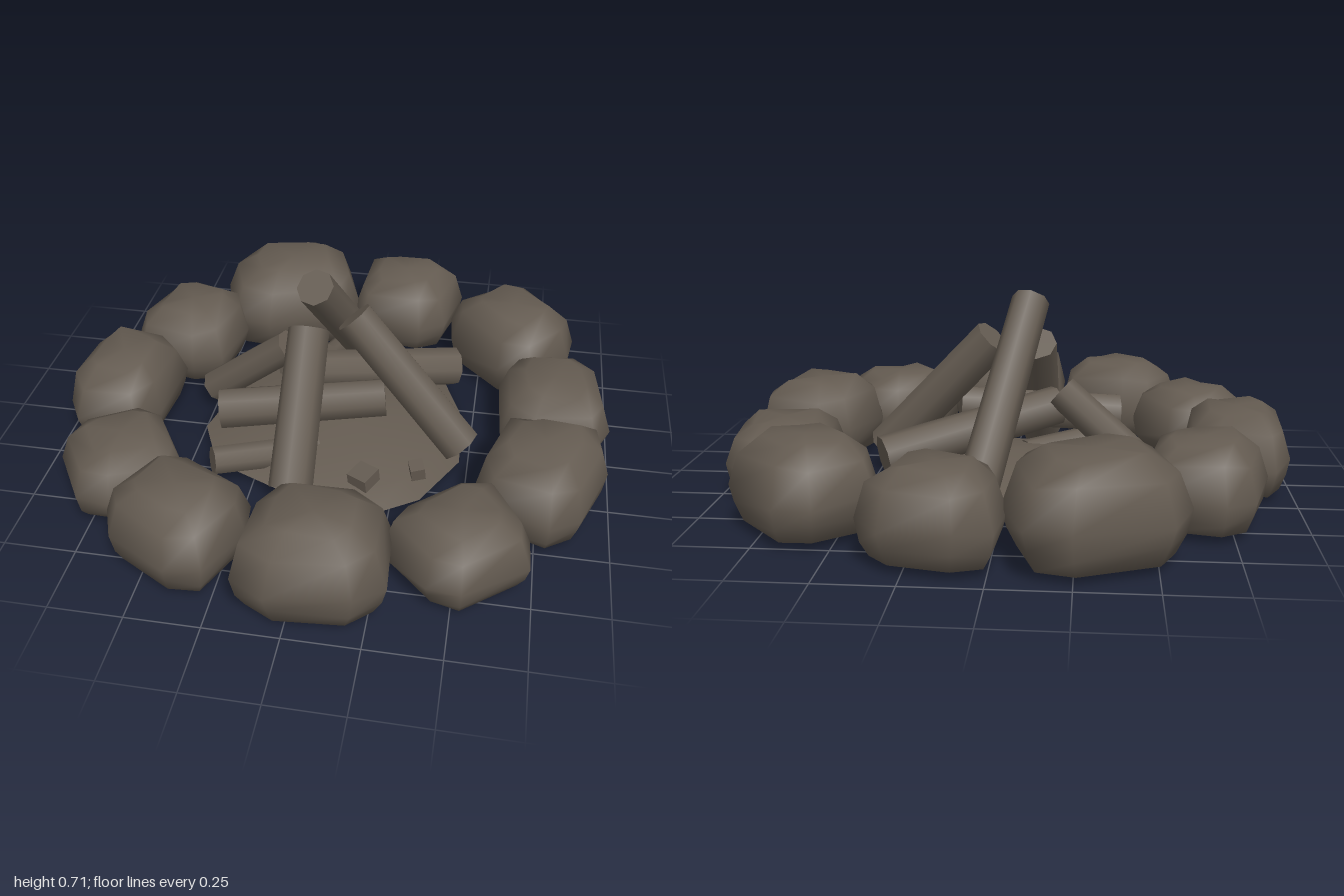
import * as THREE from 'three';
import { toCreasedNormals } from 'three/addons/utils/BufferGeometryUtils.js';

const material = new THREE.MeshStandardMaterial({ color: 0x645b51 });
material.name = 'sootyBrown';

// Stacked rings over an outline of [x, z] points; each ring is [scale, y]
function loft(outline, rings, wobble = 0) {
  const n = outline.length;
  const cx = outline.reduce((s, p) => s + p[0], 0) / n;
  const cz = outline.reduce((s, p) => s + p[1], 0) / n;
  const pos = [];
  const index = [];
  rings.forEach(([s, y], k) => outline.forEach(([x, z], i) => {
    const dy = k > 0 ? wobble * Math.sin(i * 2.3 + k * 1.7 + cx * 9) : 0;
    const ds = k > 2 ? s + wobble * 2 * Math.sin(i * 1.9 + cz * 7) : s;
    pos.push(cx + (x - cx) * ds, y + dy, cz + (z - cz) * ds);
  }));
  const bottom = pos.length / 3;
  pos.push(cx, rings[0][1], cz, cx, rings[rings.length - 1][1] + wobble * 0.4, cz);
  const last = (rings.length - 1) * n;
  for (let i = 0; i < n; i++) {
    const j = (i + 1) % n;
    for (let k = 0; k < rings.length - 1; k++) {
      const a = k * n + i, b = k * n + j;
      index.push(b, a, a + n, b, a + n, b + n);
    }
    index.push(bottom, i, j, bottom + 1, last + j, last + i);
  }
  const g = new THREE.BufferGeometry();
  g.setAttribute('position', new THREE.Float32BufferAttribute(pos, 3));
  g.setIndex(index);
  return toCreasedNormals(g, 1.4);
}

// Rounded, slightly uneven block outline with one axis pointing away from the fire
function stoneOutline(x, z, halfWidth, halfDepth, turn, seed) {
  const angle = Math.atan2(z, x) + turn;
  const ox = Math.cos(angle), oz = Math.sin(angle);
  const bulge = (v) => Math.sign(v) * Math.abs(v) ** 0.6 * 1.05;
  return Array.from({ length: 8 }, (_, i) => {
    const t = (i + 0.5) * Math.PI / 4;
    const uneven = 0.98 + 0.06 * Math.sin(i * 2.7 + seed * 4.1);
    const u = bulge(Math.cos(t)) * halfDepth * uneven;
    const v = bulge(Math.sin(t)) * halfWidth * uneven;
    return [x + ox * u - oz * v, z + oz * u + ox * v];
  });
}

// Ring stones: x, z, half width, half depth, height, turn
const stones = [
  [-0.31, -0.745, 0.275, 0.225, 0.35, 0],
  [0.165, -0.79, 0.21, 0.195, 0.31, 0],
  [0.615, -0.565, 0.245, 0.19, 0.32, 0],
  [0.79, -0.16, 0.225, 0.2, 0.265, 0.05],
  [0.76, 0.285, 0.23, 0.2, 0.31, 0],
  [0.51, 0.625, 0.215, 0.19, 0.265, 0],
  [0.065, 0.785, 0.24, 0.21, 0.34, 0],
  [-0.4, 0.7, 0.22, 0.195, 0.31, 0],
  [-0.675, 0.42, 0.205, 0.19, 0.265, 0],
  [-0.81, -0.015, 0.24, 0.185, 0.3, 0],
  [-0.66, -0.425, 0.215, 0.195, 0.3, -0.3],
];

const ashOutline = [[-0.41, -0.32], [-0.22, -0.48], [0.1, -0.43], [0.37, -0.4], [0.46, -0.17], [0.47, 0.1],
  [0.35, 0.33], [0.2, 0.43], [-0.1, 0.38], [-0.4, 0.25], [-0.49, 0.05]];

// Logs: name, upper end, lower end, radius
const logs = [
  ['tallLog', [-0.07, 0.66, 0.02], [0.09, 0.05, -0.48], 0.072],
  ['frontLog', [-0.09, 0.5, 0.04], [-0.09, 0.08, 0.41], 0.078],
  ['leftLog', [0.06, 0.53, -0.02], [0.47, 0.09, 0.08], 0.077],
  ['rightLog', [-0.185, 0.35, -0.07], [-0.5, 0.08, -0.14], 0.064],
  ['rearLog', [-0.17, 0.285, -0.01], [0.41, 0.165, -0.31], 0.074],
  ['crossLog', [0.19, 0.26, 0.07], [-0.39, 0.21, 0.17], 0.074],
  ['lowStick', [-0.39, 0.09, 0.32], [-0.05, 0.05, 0.14], 0.056],
  ['rearStick', [-0.09, 0.13, -0.36], [-0.06, 0.08, -0.52], 0.042],
];

// Charred chips: x, z, width, turn, depth
const chips = [[-0.26, -0.32, 0.045, 0.1, 0.07], [0.15, 0.31, 0.08, -0.5, 0.08], [0.33, 0.24, 0.05, 0.3, 0.055]];

export function createModel() {
  const model = new THREE.Group();
  model.name = 'campfire';
  const add = (geometry, name) => {
    const mesh = new THREE.Mesh(geometry, material);
    mesh.name = name;
    model.add(mesh);
    return mesh;
  };

  // Stone ring
  stones.forEach(([x, z, w, d, h, turn], i) => {
    const rings = [[0.83, 0.025], [0.94, h * 0.25], [1, h * 0.45], [0.85, h * 0.81], [0.54, h * 0.98]];
    add(loft(stoneOutline(x, z, w, d, turn, i), rings, 0.01), 'ringStone' + (i + 1));
  });

  // Mounded ash bed
  add(loft(ashOutline, [[1, 0.025], [0.82, 0.06], [0.45, 0.095], [0.12, 0.12]]), 'ashBed');

  // Leaning and lying logs
  const up = new THREE.Vector3(0, 1, 0);
  for (const [name, top, low, r] of logs) {
    const a = new THREE.Vector3(...top), b = new THREE.Vector3(...low);
    const dir = a.clone().sub(b);
    const log = add(new THREE.CylinderGeometry(r * 0.94, r, dir.length(), 8), name);
    log.position.copy(a).add(b).multiplyScalar(0.5);
    log.quaternion.setFromUnitVectors(up, dir.normalize());
  }

  // Chips on the ash
  chips.forEach(([x, z, w, turn, d], i) => {
    const chip = add(new THREE.BoxGeometry(w, 0.05, d), 'charredChip' + (i + 1));
    chip.position.set(x, 0.085, z);
    chip.rotation.set(0.15, turn, 0.1);
  });

  return model;
}
